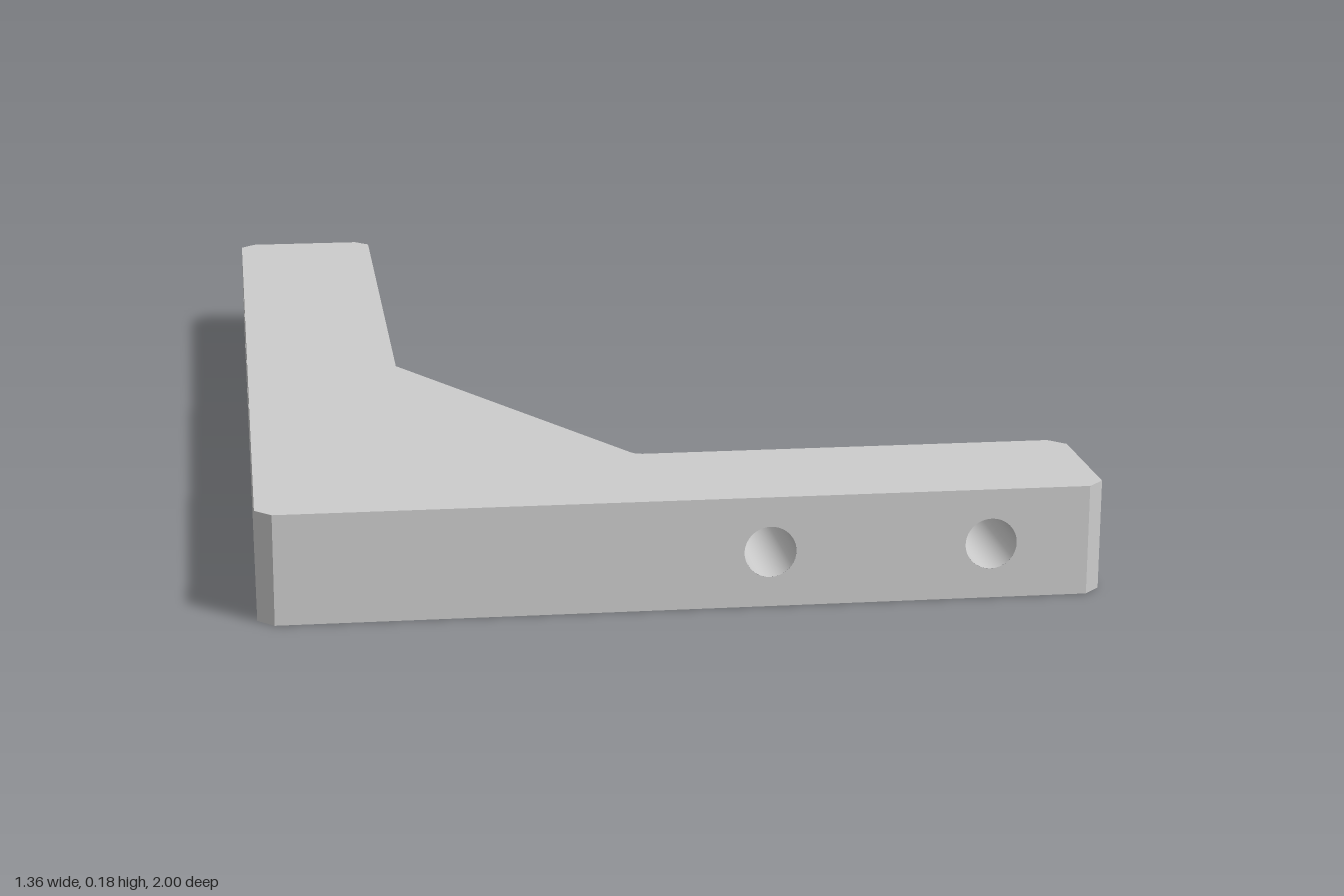
import * as THREE from 'three';
import { mergeGeometries } from 'three/addons/utils/BufferGeometryUtils.js';

const H = 0.182;   // bar thickness
const R = 0.042;   // bolt hole radius
const SEG = 32;
const holesZ = [0.135, 0.495];          // x of the holes through the short arm
const holesX = [-0.09, -0.453, -0.816]; // z of the holes through the long arm
const inX = -0.41, inZ = 0.727;         // inner faces of the two arms

// Plan outline [x, z], starting at the front face and running towards +x
const outline = [
  [-0.655, 1], [0.655, 1], [0.682, 0.973], [0.682, 0.754], [0.655, inZ],
  [-0.035, inZ], [-0.046, 0.724], [-0.054, 0.715], [inX, 0.092],
  [inX, -0.973], [-0.437, -1], [-0.655, -1], [-0.682, -0.973], [-0.682, 0.973],
];

// Upright wall from p to q, pierced at the given distances along it
function wall(p, q, holes) {
  const dx = q[0] - p[0], dz = q[1] - p[1], len = Math.hypot(dx, dz);
  const s = new THREE.Shape([[0, 0], [len, 0], [len, H], [0, H]].map(a => new THREE.Vector2(...a)));
  for (const u of holes) {
    s.holes.push(new THREE.Path().absarc(u, H / 2, R, 0, Math.PI * 2, true));
  }
  return new THREE.ShapeGeometry(s, SEG).rotateY(Math.atan2(-dz, dx)).translate(p[0], 0, p[1]);
}

// Flat cap; sign +1 faces up, -1 faces down
function cap(sign) {
  const s = new THREE.Shape(outline.map(([x, z]) => new THREE.Vector2(x, -sign * z)));
  return new THREE.ShapeGeometry(s).rotateX(-sign * Math.PI / 2).translate(0, sign > 0 ? H : 0, 0);
}

export function createModel() {
  const group = new THREE.Group();
  const grey = new THREE.MeshStandardMaterial({ color: 0xcccccc });
  const bore = new THREE.MeshStandardMaterial({ color: 0xcccccc, side: THREE.BackSide });

  // Solid L-shaped bracket: caps plus one wall per outline edge
  const faces = [cap(1), cap(-1)];
  outline.forEach((p, i) => {
    const q = outline[(i + 1) % outline.length];
    let holes = [];
    if (p[1] === q[1] && p[1] > 0) holes = holesZ.map(x => Math.abs(x - p[0]));
    if (p[0] === q[0] && p[0] < 0) holes = holesX.map(z => Math.abs(z - p[1]));
    faces.push(wall(p, q, holes));
  });
  const body = new THREE.Mesh(mergeGeometries(faces), grey);
  body.name = 'cornerBracket';
  group.add(body);

  // Bolt hole linings
  const addBore = (name, depth, x, z, alongX) => {
    const g = new THREE.CylinderGeometry(R, R, depth, SEG, 1, true);
    if (alongX) g.rotateZ(Math.PI / 2); else g.rotateX(Math.PI / 2);
    const m = new THREE.Mesh(g, bore);
    m.name = name;
    m.position.set(x, H / 2, z);
    group.add(m);
  };
  holesZ.forEach((x, i) => addBore(`shortArmHole${i + 1}`, 1 - inZ, x, (1 + inZ) / 2, false));
  holesX.forEach((z, i) => addBore(`longArmHole${i + 1}`, inX + 0.682, (inX - 0.682) / 2, z, true));
  return group;
}
